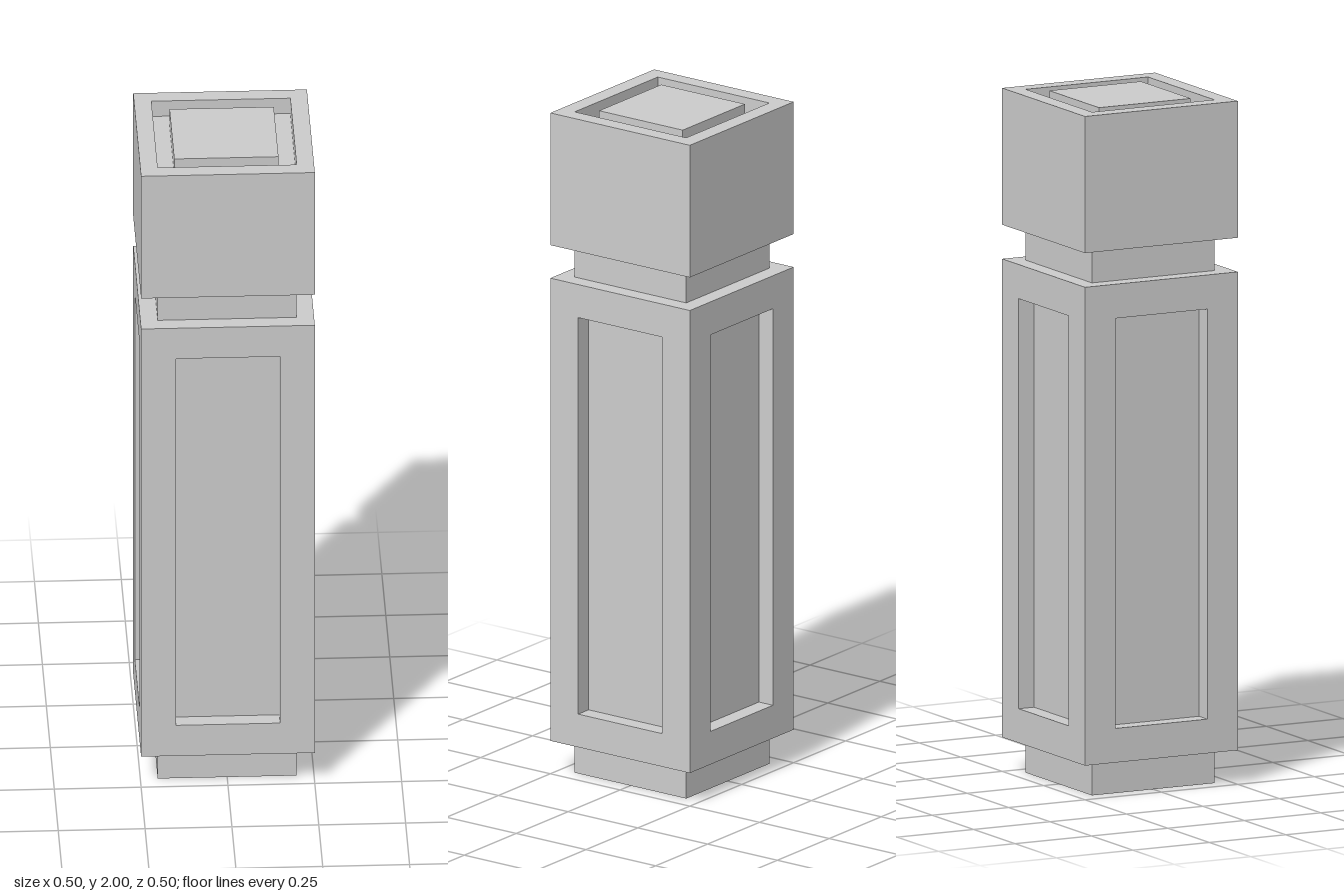
import * as THREE from 'three';

const material = new THREE.MeshStandardMaterial({ color: 0xcccccc, flatShading: true });

function add(parent, name, geometry, y = 0) {
  const mesh = new THREE.Mesh(geometry, material);
  mesh.name = name;
  mesh.position.y = y;
  parent.add(mesh);
  return mesh;
}

function rectangle(PathType, w, h) {
  const x = w / 2, y = h / 2;
  return new PathType([[-x, -y], [x, -y], [x, y], [-x, y]].map(p => new THREE.Vector2(...p)));
}

// Rectangular frame with a rectangular opening, extruded along z
function frameGeometry(w, h, holeW, holeH, depth) {
  const shape = rectangle(THREE.Shape, w, h);
  shape.holes.push(rectangle(THREE.Path, holeW, holeH));
  return new THREE.ExtrudeGeometry(shape, { depth, bevelEnabled: false });
}

export function createModel() {
  const group = new THREE.Group();
  group.name = 'squarePost';

  // Core: shows as the foot, the panel faces, the neck and the cap groove floor
  add(group, 'core', new THREE.BoxGeometry(0.4, 1.95, 0.4), 0.975);

  // Four panel frames around the shaft, mitred where they meet at the corners
  const panel = frameGeometry(0.5, 1.4, 0.3, 1.2, 0.05);
  const pos = panel.attributes.position;
  for (let i = 0; i < pos.count; i++) {
    const x = pos.getX(i);
    if (pos.getZ(i) < 0.01 && Math.abs(x) > 0.2) pos.setX(i, Math.sign(x) * 0.2);
  }
  panel.translate(0, 0, 0.2);
  panel.computeVertexNormals();
  ['front', 'left', 'back', 'right'].forEach((side, i) => {
    add(group, side + 'PanelFrame', panel, 0.8).rotation.y = i * Math.PI / 2;
  });

  // Cap block with a square groove around a flush raised centre
  const cap = frameGeometry(0.5, 0.5, 0.4, 0.4, 0.4).rotateX(-Math.PI / 2);
  add(group, 'cap', cap, 1.6);
  add(group, 'capCentre', new THREE.BoxGeometry(0.3, 0.05, 0.3), 1.975);

  return group;
}
